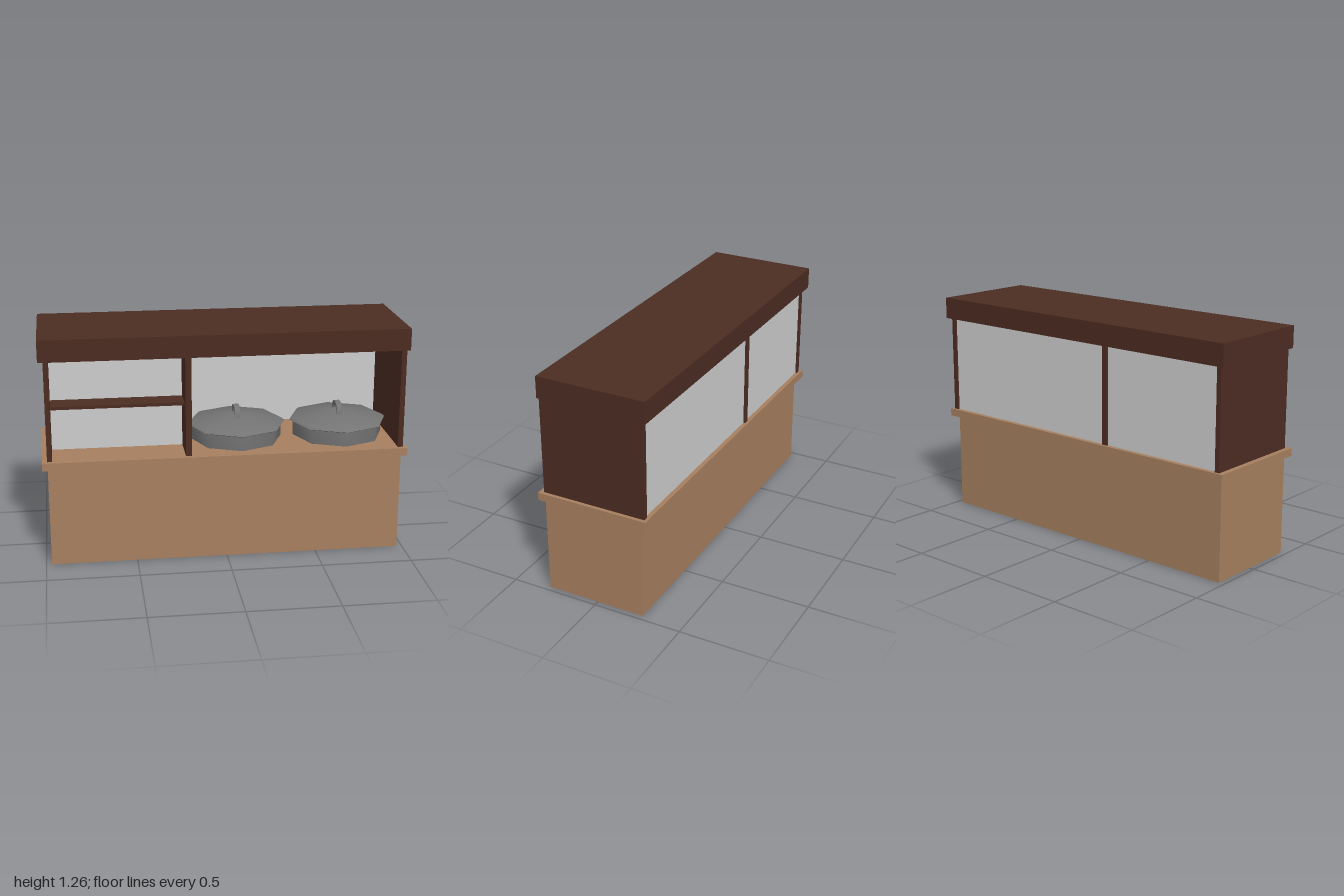
import * as THREE from 'three';
import { toCreasedNormals } from 'three/addons/utils/BufferGeometryUtils.js';

function material(name, color, side = THREE.FrontSide) {
  const m = new THREE.MeshStandardMaterial({ color, side });
  m.name = name;
  return m;
}

export function createModel() {
  const model = new THREE.Group();
  model.name = 'servingCounter';

  const lightWood = material('lightWood', 0xa67f5f, THREE.DoubleSide);
  const darkWood = material('darkWood', 0x4b2c22);
  const panelGrey = material('panelGrey', 0xcccccc);
  const potMetal = material('potMetal', 0x747474, THREE.DoubleSide);

  function add(name, geometry, mat, parent = model) {
    const mesh = new THREE.Mesh(geometry, mat);
    mesh.name = name;
    parent.add(mesh);
    return mesh;
  }

  // Box given by its limits on each axis
  function box(name, mat, [x0, x1], [y0, y1], [z0, z1]) {
    const mesh = add(name, new THREE.BoxGeometry(x1 - x0, y1 - y0, z1 - z0), mat);
    mesh.position.set((x0 + x1) / 2, (y0 + y1) / 2, (z0 + z1) / 2);
    return mesh;
  }

  // Hollow base: only the four walls are kept
  const base = box('base', lightWood, [-0.97, 0.97], [0, 0.555], [-0.27, 0.296]);
  const index = Array.from(base.geometry.index.array);
  base.geometry.setIndex([...index.slice(0, 12), ...index.slice(24)]);
  base.geometry.clearGroups();

  box('counterTop', lightWood, [-1, 1], [0.553, 0.596], [-0.31, 0.32]);

  // Upper cabinet frame
  const wallY = [0.596, 1.145];
  const depth = [-0.295, 0.295];
  box('rightPanel', darkWood, [-0.972, -0.945], wallY, depth);
  box('divider', darkWood, [-0.225, -0.192], wallY, depth);
  box('leftPanel', darkWood, [0.952, 0.98], wallY, depth);
  box('roof', darkWood, [-1, 1], [1.145, 1.265], [-0.32, 0.295]);
  box('shelf', darkWood, [-0.945, -0.225], [0.863, 0.88], [-0.275, 0.225]);

  // Back panels, slightly recessed
  box('rightBackPanel', panelGrey, [-0.945, -0.225], wallY, [-0.285, -0.275]);
  box('leftBackPanel', panelGrey, [-0.192, 0.952], wallY, [-0.285, -0.275]);

  // Stored blocks standing on the counter and on the shelf
  for (const [name, y] of [['lowerBlock', 0.596], ['upperBlock', 0.88]]) {
    box(name, panelGrey, [-0.945, -0.225], [y, y + 0.235], [-0.275, 0.095]);
  }

  // Eight-sided pots sunk into the counter
  const lathe = (points) => toCreasedNormals(
    new THREE.LatheGeometry(points.map(([r, y]) => new THREE.Vector2(r, y)), 8), 0.9);
  const bodyGeometry = lathe([[0, 0.34], [0.21, 0.34], [0.255, 0.4], [0.255, 0.68]]);
  const lidGeometry = lathe([[0, 0.677], [0.262, 0.677], [0.277, 0.684], [0.262, 0.696], [0, 0.738]]);

  // Arched strap handle running front to back
  const strap = new THREE.Shape();
  strap.moveTo(-0.07, 0);
  strap.quadraticCurveTo(-0.065, 0.06, 0, 0.06);
  strap.quadraticCurveTo(0.065, 0.06, 0.07, 0);
  strap.lineTo(0.055, 0);
  strap.quadraticCurveTo(0.05, 0.045, 0, 0.045);
  strap.quadraticCurveTo(-0.05, 0.045, -0.055, 0);
  strap.closePath();
  const handleGeometry = toCreasedNormals(
    new THREE.ExtrudeGeometry(strap, { depth: 0.03, bevelEnabled: false, curveSegments: 5 }), 0.7);
  handleGeometry.translate(0, 0.725, -0.015).rotateY(Math.PI / 2);

  [0.09, 0.67].forEach((x, i) => {
    const pot = new THREE.Group();
    pot.name = i ? 'leftPot' : 'rightPot';
    pot.position.x = x;
    add('potBody', bodyGeometry, potMetal, pot);
    add('potLid', lidGeometry, potMetal, pot);
    add('lidHandle', handleGeometry, potMetal, pot);
    model.add(pot);
  });

  return model;
}
